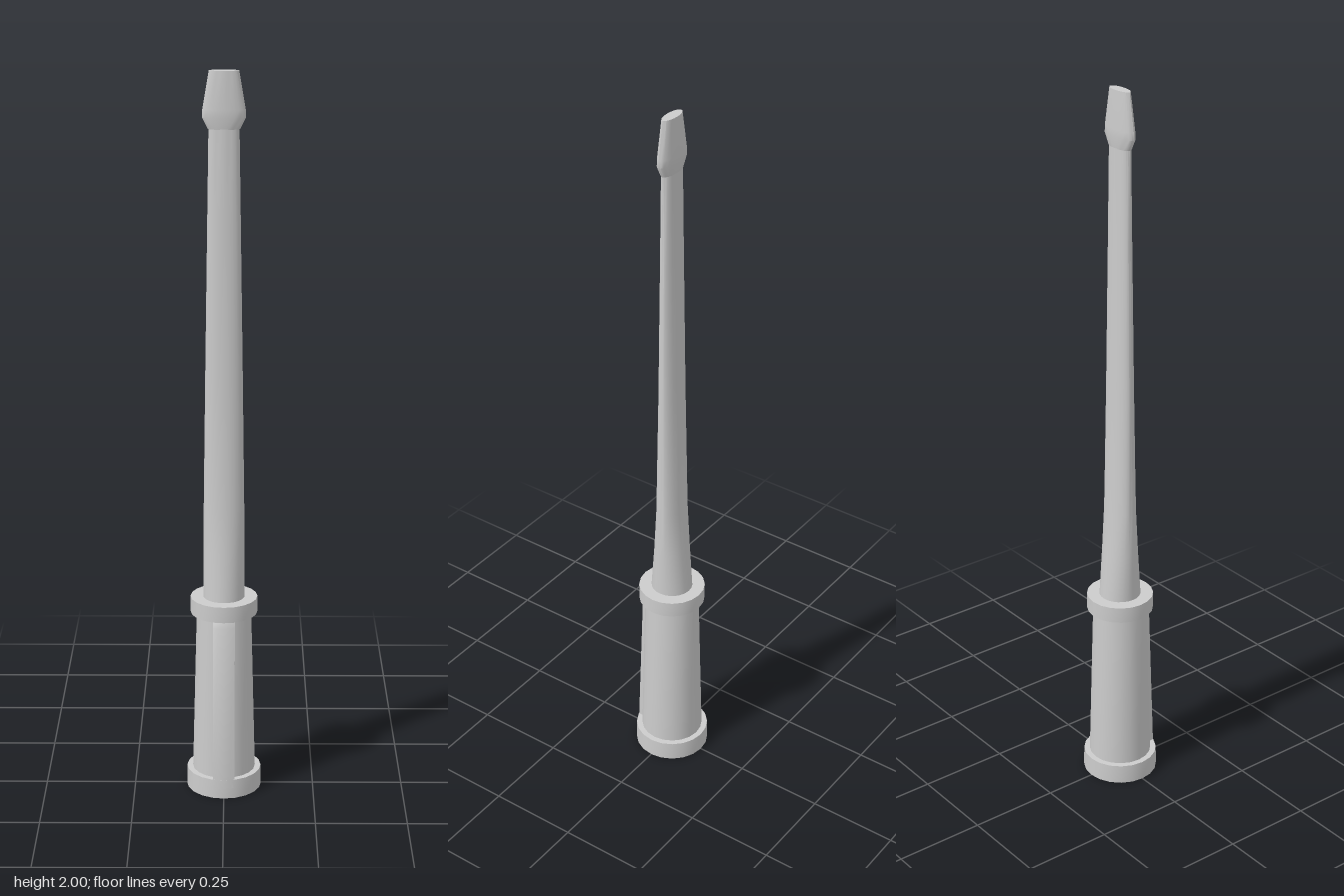
import * as THREE from 'three';
import { toCreasedNormals } from 'three/addons/utils/BufferGeometryUtils.js';

const material = new THREE.MeshStandardMaterial({ color: 0xcccccc });

function part(name, geometry) {
  const mesh = new THREE.Mesh(toCreasedNormals(geometry, 0.6), material);
  mesh.name = name;
  return mesh;
}

// Closed solid through elliptical rings [y, half width x, half depth z], bottom to top
function loft(rings, sides) {
  const last = rings.length - 1;
  const geometry = new THREE.CylinderGeometry(1, 1, 1, sides, last);
  const p = geometry.attributes.position;
  for (let i = 0; i < p.count; i++) {
    const [y, rx, rz = rx] = rings[Math.round((p.getY(i) + 0.5) * last)];
    p.setXYZ(i, p.getX(i) * rx, y, p.getZ(i) * rz);
  }
  return geometry;
}

// Raised spine down the front of the grip, rounded to follow the pommel
function spine() {
  const rows = [[0.03, 0.103], [0.06, 0.102], [0.5, 0.085], [0.525, 0.074]];
  const geometry = new THREE.BoxGeometry(0.06, 1, 1, 4, rows.length - 1, 1);
  const p = geometry.attributes.position;
  for (let i = 0; i < p.count; i++) {
    const x = p.getX(i);
    const [y, r] = rows[Math.round((p.getY(i) + 0.5) * (rows.length - 1))];
    p.setXYZ(i, x, y, p.getZ(i) > 0 ? Math.sqrt(r * r - x * x) : 0.04);
  }
  return geometry;
}

export function createModel() {
  const model = new THREE.Group();
  model.name = 'bladedTool';

  // Handle
  model.add(part('pommel', loft([[0, 0.104], [0.055, 0.103]], 20)));
  model.add(part('grip', loft([[0.05, 0.087], [0.525, 0.075]], 20)));
  model.add(part('gripSpine', spine()));
  model.add(part('collar', loft([[0.52, 0.092], [0.565, 0.092]], 20)));

  // Shaft: round at the collar, flattening towards the tip
  model.add(part('shaft', loft([
    [0.56, 0.057, 0.058],
    [0.7, 0.056, 0.045],
    [0.83, 0.055, 0.035],
    [1.2, 0.05, 0.026],
    [1.6, 0.044, 0.02],
    [1.86, 0.04, 0.017],
  ], 24)));

  // Flared, flattened tip
  model.add(part('tip', loft([
    [1.85, 0.042, 0.017],
    [1.88, 0.057, 0.021],
    [1.9, 0.056, 0.021],
    [2, 0.039, 0.015],
  ], 24)));

  return model;
}
